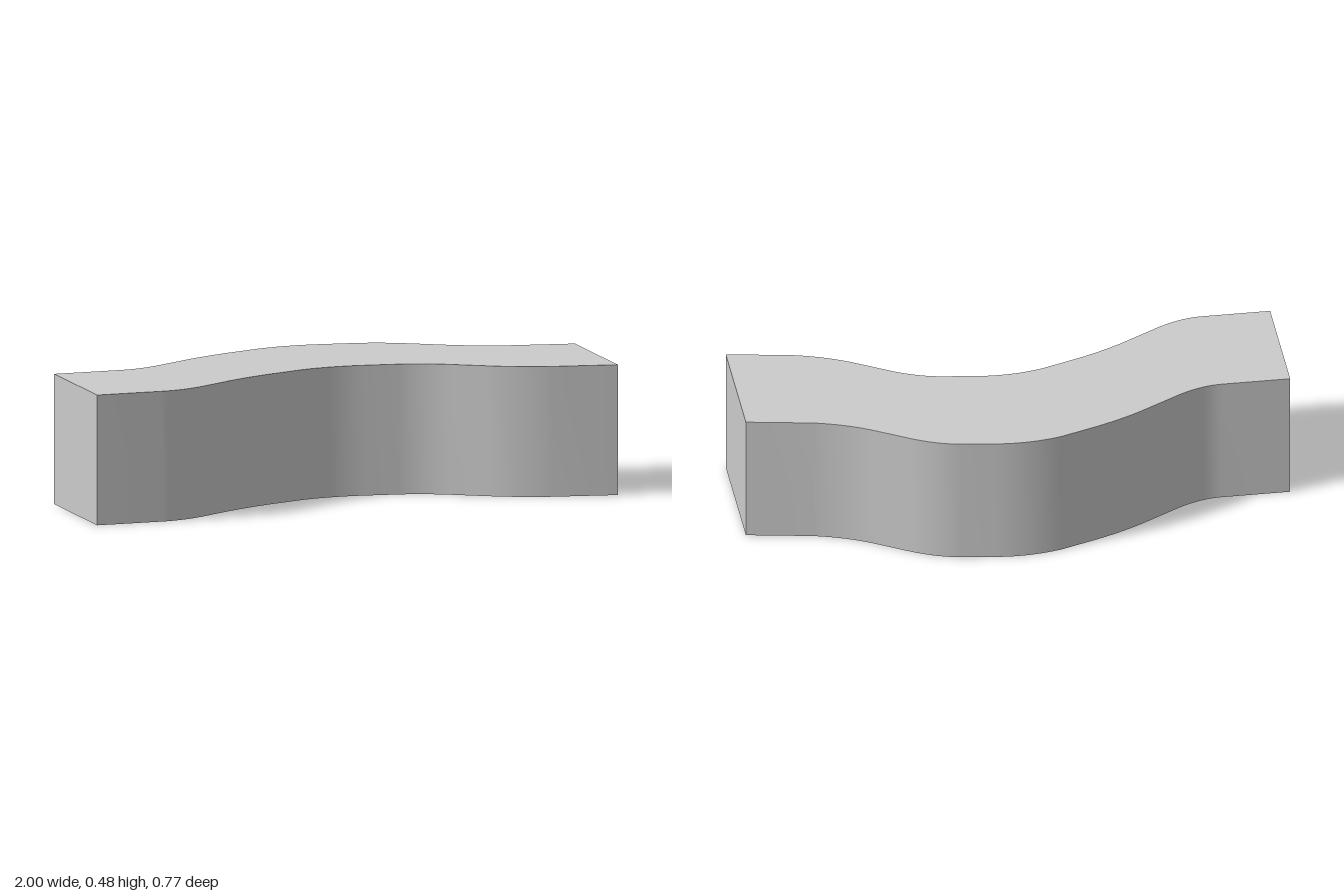
import * as THREE from 'three';
import { toCreasedNormals } from 'three/addons/utils/BufferGeometryUtils.js';

const WIDTH = 0.48; // depth along z, constant over the whole length
const HEIGHT = 0.48;

// Back edge of the plan: straight runs joined by rounded bends (y here is -z)
function backEdge() {
  const bends = [ // start, corner, end
    [-0.75, 0.094, -0.67, 0.094, -0.58, 0.146],
    [-0.45, 0.224, -0.35, 0.284, -0.22, 0.33],
    [-0.12, 0.366, 0, 0.4, 0.13, 0.382],
    [0.25, 0.365, 0.34, 0.351, 0.43, 0.296],
    [0.54, 0.228, 0.64, 0.166, 0.76, 0.137],
  ];
  const path = new THREE.Path().moveTo(-1, 0.094);
  for (const [ax, ay, cx, cy, bx, by] of bends) {
    path.lineTo(ax, ay);
    path.quadraticCurveTo(cx, cy, bx, by);
  }
  path.lineTo(1, 0.094);
  return path.getPoints(12);
}

export function createModel() {
  const group = new THREE.Group();
  group.name = 'wavyBlock';

  // Front edge is the back edge shifted forward
  const back = backEdge();
  const front = back.map((p) => new THREE.Vector2(p.x, p.y - WIDTH));
  const shape = new THREE.Shape([...front, ...back.reverse()]);

  // Extrude the plan upward, smooth walls with sharp rims
  const geometry = new THREE.ExtrudeGeometry(shape, { depth: HEIGHT, bevelEnabled: false });
  geometry.rotateX(-Math.PI / 2);
  const body = new THREE.Mesh(
    toCreasedNormals(geometry, Math.PI / 6),
    new THREE.MeshStandardMaterial({ color: 0xcccccc })
  );
  body.name = 'curvedBody';
  group.add(body);
  return group;
}
